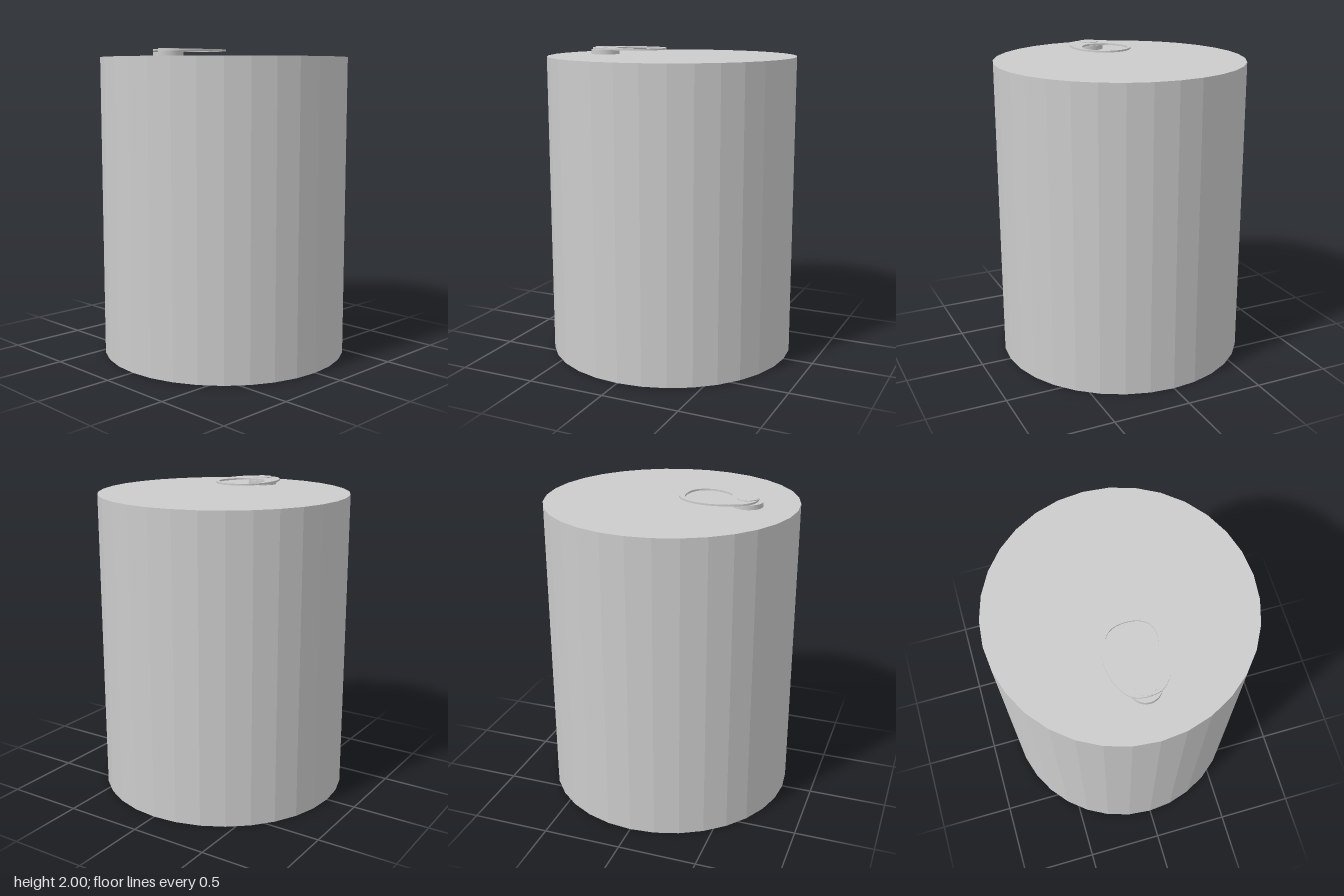
import * as THREE from 'three';

const CX = 0.005; // the tab sits a hair off the can's axis

// Mirrored closed outline from the half-curve start point and bezier segments
function mirroredPoints(start, segments) {
  const half = new THREE.Path();
  half.moveTo(...start);
  segments.forEach((s) => half.bezierCurveTo(...s));
  const pts = half.getPoints(10);
  const other = pts.slice(1, -1).reverse().map((p) => new THREE.Vector2(-p.x, p.y));
  return [...pts, ...other];
}

export function createModel() {
  const group = new THREE.Group();
  const flat = new THREE.MeshStandardMaterial({ color: 0xcccccc, flatShading: true });
  const smooth = new THREE.MeshStandardMaterial({ color: 0xcccccc });

  const disc = (name, radius, y0, y1, z, x, sides, material) => {
    const mesh = new THREE.Mesh(new THREE.CylinderGeometry(radius, radius, y1 - y0, sides), material);
    mesh.name = name;
    mesh.position.set(x, (y0 + y1) / 2, z);
    group.add(mesh);
  };

  // Faceted can body
  disc('canBody', 0.805, 0, 1.95, 0, 0, 32, flat);

  // Rivet under and through the pull tab
  disc('rivetBase', 0.094, 1.95, 1.98, 0.491, CX, 48, smooth);
  disc('rivetCap', 0.064, 1.978, 2, 0.488, CX, 48, smooth);

  // Flat egg-shaped pull tab with a finger hole
  const outline = new THREE.Shape(mirroredPoints([0, 0.055], [
    [0.105, 0.055, 0.19, 0.16, 0.19, 0.29],
    [0.19, 0.4, 0.145, 0.51, 0.08, 0.54],
    [0.055, 0.552, 0.025, 0.555, 0, 0.555],
  ]));
  outline.holes.push(new THREE.Path(mirroredPoints([0, 0.098], [
    [0.1, 0.098, 0.148, 0.145, 0.148, 0.22],
    [0.148, 0.28, 0.1, 0.36, 0.065, 0.374],
    [0.045, 0.38, 0.02, 0.38, 0, 0.38],
  ])));
  const tabGeometry = new THREE.ExtrudeGeometry(outline, { depth: 0.011, bevelEnabled: false });
  tabGeometry.rotateX(Math.PI / 2);
  const tab = new THREE.Mesh(tabGeometry, smooth);
  tab.name = 'pullTab';
  tab.position.set(CX, 1.996, 0);
  group.add(tab);

  return group;
}
